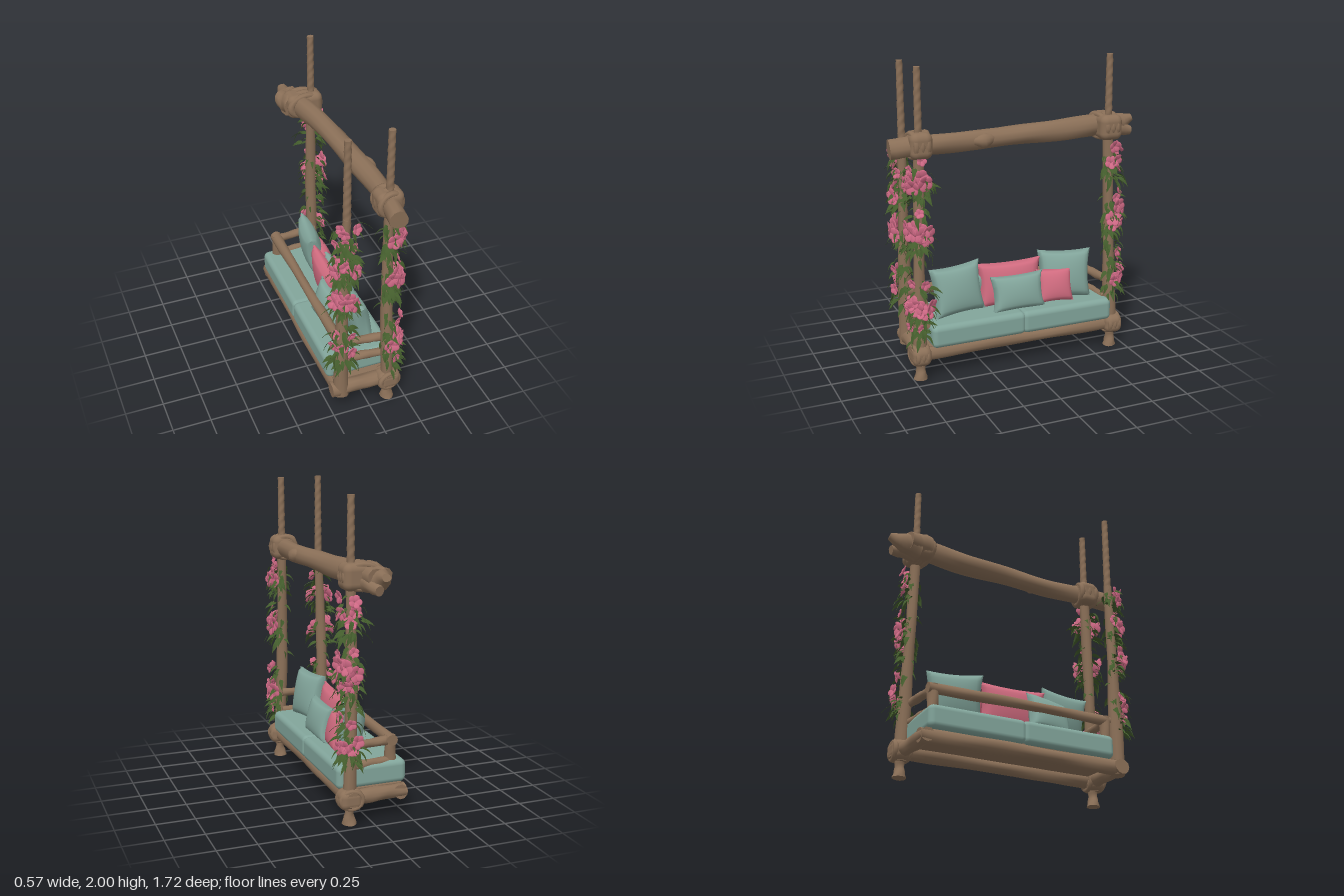
import * as THREE from 'three';
import { mergeGeometries, mergeVertices, toCreasedNormals } from 'three/addons/utils/BufferGeometryUtils.js';
import { RoundedBoxGeometry } from 'three/addons/geometries/RoundedBoxGeometry.js';

const V = (x, y, z) => new THREE.Vector3(x, y, z);
const material = (name, color, side = THREE.FrontSide) => {
  const m = new THREE.MeshStandardMaterial({ color, side });
  m.name = name;
  return m;
};

export function createModel() {
  const model = new THREE.Group();
  model.name = 'hangingGardenSwing';
  const wood = material('wood', 0x8b7058);
  const teal = material('sage teal fabric', 0x82a59b);
  const pink = material('pink fabric', 0xd16c80);
  const petalPink = material('petal pink', 0xd06a86, THREE.DoubleSide);
  const leafGreen = material('leaf green', 0x435c2c, THREE.DoubleSide);

  let seed = 7;
  const rand = (a = 0, b = 1) => {
    seed = (seed * 16807) % 2147483647;
    return a + (b - a) * (seed / 2147483647);
  };
  const add = (name, geo, mat, parent = model) => {
    const mesh = new THREE.Mesh(geo, mat);
    mesh.name = name;
    parent.add(mesh);
    return mesh;
  };

  // Capped tube along a curve; radii are spread evenly, bump(t, angle) scales them
  const limbGeometry = (points, radii, rings, sides, bump) => {
    const curve = new THREE.CatmullRomCurve3(points);
    const geo = new THREE.TubeGeometry(curve, rings, 1, sides);
    const pos = geo.attributes.position;
    const v = V(0, 0, 0);
    for (let i = 0; i <= rings; i++) {
      const t = THREE.MathUtils.clamp((i - 1) / (rings - 2), 0, 1);
      const centre = curve.getPointAt(i / rings), target = curve.getPointAt(t);
      const f = t * (radii.length - 1), k = Math.min(Math.floor(f), radii.length - 2);
      const r = i === 0 || i === rings ? 0.0001 : THREE.MathUtils.lerp(radii[k], radii[k + 1], f - k);
      for (let j = 0; j <= sides; j++) {
        const n = i * (sides + 1) + j;
        v.fromBufferAttribute(pos, n).sub(centre).multiplyScalar(r * bump(t, (j / sides) * Math.PI * 2)).add(target);
        pos.setXYZ(n, v.x, v.y, v.z);
      }
    }
    geo.deleteAttribute('uv');
    geo.deleteAttribute('normal');
    return toCreasedNormals(mergeVertices(geo, 1e-5), 0.9);
  };
  // Gnarled wooden limb
  const limb = (name, points, radii, rings = 28) => {
    const p = rand(0, 6), q = rand(0, 6);
    const bump = (t, a) => 1 + 0.06 * Math.sin(2 * a + 9 * t + p) + 0.04 * Math.sin(3 * a - 17 * t + q);
    return add(name, limbGeometry(points, radii, rings, 12, bump), wood);
  };

  // Crossbeam with a knot and forked far end
  limb('crossbeam', [V(0.01, 1.52, -0.76), V(0.035, 1.525, -0.6), V(0.075, 1.525, -0.35), V(0.1, 1.525, 0),
    V(0.12, 1.52, 0.35), V(0.115, 1.52, 0.65), V(0.1, 1.508, 0.85)],
  [0.065, 0.07, 0.066, 0.064, 0.064, 0.06, 0.06], 48);
  limb('beamStub', [V(0, 1.51, -0.66), V(-0.01, 1.515, -0.76), V(-0.005, 1.545, -0.855)], [0.088, 0.066, 0.026], 12);
  limb('beamBranch', [V(0, 1.53, -0.6), V(-0.045, 1.52, -0.74)], [0.08, 0.06], 8);
  limb('beamLowerFork', [V(0.05, 1.5, -0.64), V(0.025, 1.465, -0.83)], [0.065, 0.03], 10);
  limb('beamKnot', [V(0.13, 1.525, 0.18), V(0.162, 1.525, 0.26), V(0.14, 1.525, 0.35)], [0.03, 0.044, 0.03], 12);

  // Posts and the twisted ropes above them
  const posts = [
    { name: 'frontLeftPost', top: V(0.12, 1.5, 0.67), foot: V(0.14, 0.1, 0.7), r: [0.032, 0.036, 0.044] },
    { name: 'frontRightPost', top: V(0.12, 1.5, -0.62), foot: V(0.14, 0.1, -0.66), r: [0.032, 0.036, 0.044] },
    { name: 'backLeftPost', top: V(-0.155, 1.48, 0.69), foot: V(-0.18, 0.12, 0.69), r: [0.026, 0.036, 0.05] },
  ];
  const twist = (t, a) => 1 + 0.06 * Math.cos(2 * a + t * 60);
  posts.forEach((p) => {
    limb(p.name, [p.top, p.top.clone().lerp(p.foot, 0.5).add(V(-0.008, 0, 0)), p.foot], p.r, 40);
    add(p.name + 'Rope', limbGeometry([V(p.top.x, 1.42, p.top.z), V(p.top.x, 2, p.top.z)], [0.025, 0.021], 60, 10, twist), wood);
  });

  // Lashings: a rounded core with rope wraps in two directions
  const lashing = (name, x, y, z, sx, sy, sz) => {
    const g = new THREE.Group();
    g.name = name;
    g.position.set(x, y, z);
    add('core', new RoundedBoxGeometry(sx * 0.94, sy * 0.94, sz * 0.96, 4, 0.045), wood, g);
    for (let i = -1; i <= 1; i++) {
      const around = add('beamWrap', new THREE.TorusGeometry(0.5, 0.13, 8, 20), wood, g);
      around.scale.set(sx * 0.8, sy * 0.82, sz * 1.1);
      around.position.z = i * sz * 0.3;
      around.rotation.y = 0.12 * i;
    }
    model.add(g);
  };
  lashing('beamLashingLeft', 0.112, 1.525, 0.665, 0.18, 0.175, 0.15);
  lashing('beamLashingRight', 0.065, 1.525, -0.625, 0.26, 0.175, 0.16);
  lashing('seatLashingLeft', 0.14, 0.165, 0.7, 0.165, 0.135, 0.13);
  lashing('seatLashingRight', 0.14, 0.165, -0.665, 0.165, 0.135, 0.13);

  // Feet below the front corners
  for (const z of [0.7, -0.66]) limb('foot', [V(0.14, 0.14, z), V(0.142, 0.06, z), V(0.14, 0, z)], [0.036, 0.027, 0.045], 10);

  // Seat frame and bottom panel
  limb('frontSeatRail', [V(0.14, 0.17, 0.76), V(0.135, 0.165, 0), V(0.14, 0.17, -0.725)], [0.047, 0.045, 0.047], 36);
  limb('backSeatRail', [V(-0.195, 0.165, 0.7), V(-0.2, 0.165, 0), V(-0.195, 0.165, -0.68)], [0.048, 0.045, 0.048], 36);
  limb('leftSeatRail', [V(-0.245, 0.165, 0.685), V(0.2, 0.165, 0.69)], [0.05, 0.047]);
  limb('rightSeatRail', [V(-0.235, 0.165, -0.64), V(0.2, 0.165, -0.66)], [0.045, 0.047]);
  add('seatPanel', new THREE.BoxGeometry(0.37, 0.03, 1.31), wood).position.set(-0.03, 0.2, 0.01);

  // Arms and back
  for (const s of [1, -1]) {
    const z = s > 0 ? 0.62 : -0.585;
    limb('upperArm', [V(-0.17, 0.48, z), V(0.135, 0.48, z + s * 0.035)], [0.029, 0.027]);
    limb('lowerArm', [V(-0.17, 0.348, z), V(0.135, 0.35, z + s * 0.035)], [0.029, 0.027]);
    limb('armPost', [V(-0.16, 0.2, z), V(-0.16, 0.51, z)], [0.036, 0.034], 16);
  }
  limb('backTopRail', [V(-0.16, 0.485, 0.69), V(-0.163, 0.49, 0.1), V(-0.16, 0.485, -0.62)], [0.034, 0.03, 0.036], 36);

  // Seat cushions, slightly domed and meeting at a thin seam
  for (const s of [1, -1]) {
    const geo = new RoundedBoxGeometry(0.46, 0.15, 0.646, 5, 0.036);
    const p = geo.attributes.position;
    for (let i = 0; i < p.count; i++) {
      const u = p.getX(i) / 0.23, w = p.getZ(i) / 0.323;
      p.setY(i, p.getY(i) * (1 + 0.08 * (1 - u * u) * (1 - w * w)));
    }
    add('seatCushion', geo, teal).position.set(-0.022, 0.283, s * 0.312 - 0.003);
  }

  // Throw pillows: pinched corners and a puffed middle
  const pillow = (name, mat, x, y, z, w, h, depth, yaw, lean, roll) => {
    const geo = new THREE.BoxGeometry(2, 2, 2, 16, 16, 1);
    const p = geo.attributes.position;
    for (let i = 0; i < p.count; i++) {
      const u = p.getX(i), v = p.getY(i), a = 1 - u * u, b = 1 - v * v;
      p.setXYZ(i, u * (w / 2) * (1 - 0.1 * b), v * (h / 2) * (1 - 0.08 * a),
        p.getZ(i) * (0.006 + (depth / 2) * Math.pow(a * b, 0.36)));
    }
    geo.deleteAttribute('uv');
    geo.deleteAttribute('normal');
    const mesh = add(name, toCreasedNormals(mergeVertices(geo), 1.2), mat);
    mesh.position.set(x, y, z);
    mesh.rotation.set(lean, Math.PI / 2 + yaw, roll, 'YXZ');
  };
  pillow('leftPillow', teal, 0.02, 0.52, 0.4, 0.36, 0.33, 0.13, 0.12, -0.2, 0.04);
  pillow('rightPillow', teal, 0.02, 0.52, -0.365, 0.37, 0.33, 0.13, -0.15, -0.2, -0.04);
  pillow('longPillow', pink, -0.015, 0.5, 0.02, 0.45, 0.3, 0.11, -0.04, -0.12, 0);
  pillow('backPillow', teal, -0.08, 0.47, 0.25, 0.33, 0.26, 0.12, 0.2, 0.25, 0.1);
  pillow('middlePillow', teal, 0.085, 0.465, 0.0, 0.37, 0.24, 0.11, 0, -0.25, 0);
  pillow('smallPillow', pink, 0.075, 0.47, -0.27, 0.25, 0.23, 0.1, -0.1, -0.25, 0);

  // Drooping pointed leaf, from the origin along +z
  const leaf = new THREE.PlaneGeometry(1, 1, 2, 5);
  const lp = leaf.attributes.position;
  for (let i = 0; i < lp.count; i++) {
    const t = lp.getY(i) + 0.5, u = lp.getX(i);
    lp.setXYZ(i, u * 0.36 * Math.sin(Math.PI * Math.pow(t, 0.7)), 0.25 * t - 0.75 * t * t + Math.abs(u) * 0.06, t * 0.9);
  }
  leaf.computeVertexNormals();
  // Broad five-petalled flower of unit radius facing +z
  const flower = mergeGeometries([0, 1, 2, 3, 4].map((k) => {
    const petal = new THREE.SphereGeometry(0.5, 8, 6);
    petal.scale(1, 1, 0.22).rotateX(0.3).translate(0, 0.5, 0.12);
    return petal.rotateZ((k * Math.PI * 2) / 5);
  }));

  // Vines on the posts; each cluster is [height, flower count, flower radius]
  const clusters = [
    [[1.4, 2, 0.034], [1.3, 6, 0.054], [1.13, 1, 0.032], [0.98, 7, 0.056], [0.67, 2, 0.034], [0.5, 7, 0.056], [0.37, 2, 0.036]],
    [[1.37, 2, 0.044], [1.29, 4, 0.046], [1.07, 2, 0.034], [0.97, 6, 0.054], [0.84, 3, 0.042], [0.65, 2, 0.036], [0.5, 5, 0.046]],
    [[1.44, 3, 0.038], [1.31, 3, 0.038], [1.16, 6, 0.05], [0.93, 6, 0.052], [0.68, 2, 0.036], [0.53, 3, 0.042]],
  ];
  const outward = [1.1, 2.4, -0.4]; // heading of each vine's fuller side, from +z towards +x
  posts.forEach((p, n) => {
    const leaves = [], blooms = [];
    const place = (list, base, y, heading, reach, size, pitch, roll) => {
      const t = (p.top.y - y) / (p.top.y - p.foot.y);
      const c = p.top.clone().lerp(p.foot, t);
      const q = new THREE.Quaternion().setFromEuler(new THREE.Euler(pitch, heading, roll, 'YXZ'));
      c.x += Math.sin(heading) * reach;
      c.z += Math.cos(heading) * reach;
      list.push(base.clone().applyMatrix4(new THREE.Matrix4().compose(c, q, V(size, size, size))));
    };
    clusters[n].forEach(([y, count, r]) => {
      for (let i = 0; i < count; i++) {
        const spread = ((i + 0.5) / count - 0.5) * 2.4 + rand(-0.2, 0.2);
        place(blooms, flower, y + rand(-0.045, 0.045), outward[n] + spread, rand(0.05, 0.085), r, rand(-0.4, 0.2), rand(0, 6));
      }
      for (let i = 0; i < 9 + count * 4; i++)
        place(leaves, leaf, y - 0.035 + rand(-0.09, 0.04), outward[n] + rand(-1.9, 1.9), rand(0.02, 0.06), rand(0.06, 0.1), rand(-0.2, 0.7), rand(-0.6, 0.6));
    });
    for (let i = 0; i < 24; i++)
      place(leaves, leaf, rand(0.42, 1.42), rand(0, 6.28), 0.025, rand(0.05, 0.08), rand(0, 0.9), rand(-0.5, 0.5));
    add(p.name + 'Leaves', mergeGeometries(leaves), leafGreen);
    add(p.name + 'Flowers', mergeGeometries(blooms), petalPink);
  });

  return model;
}
